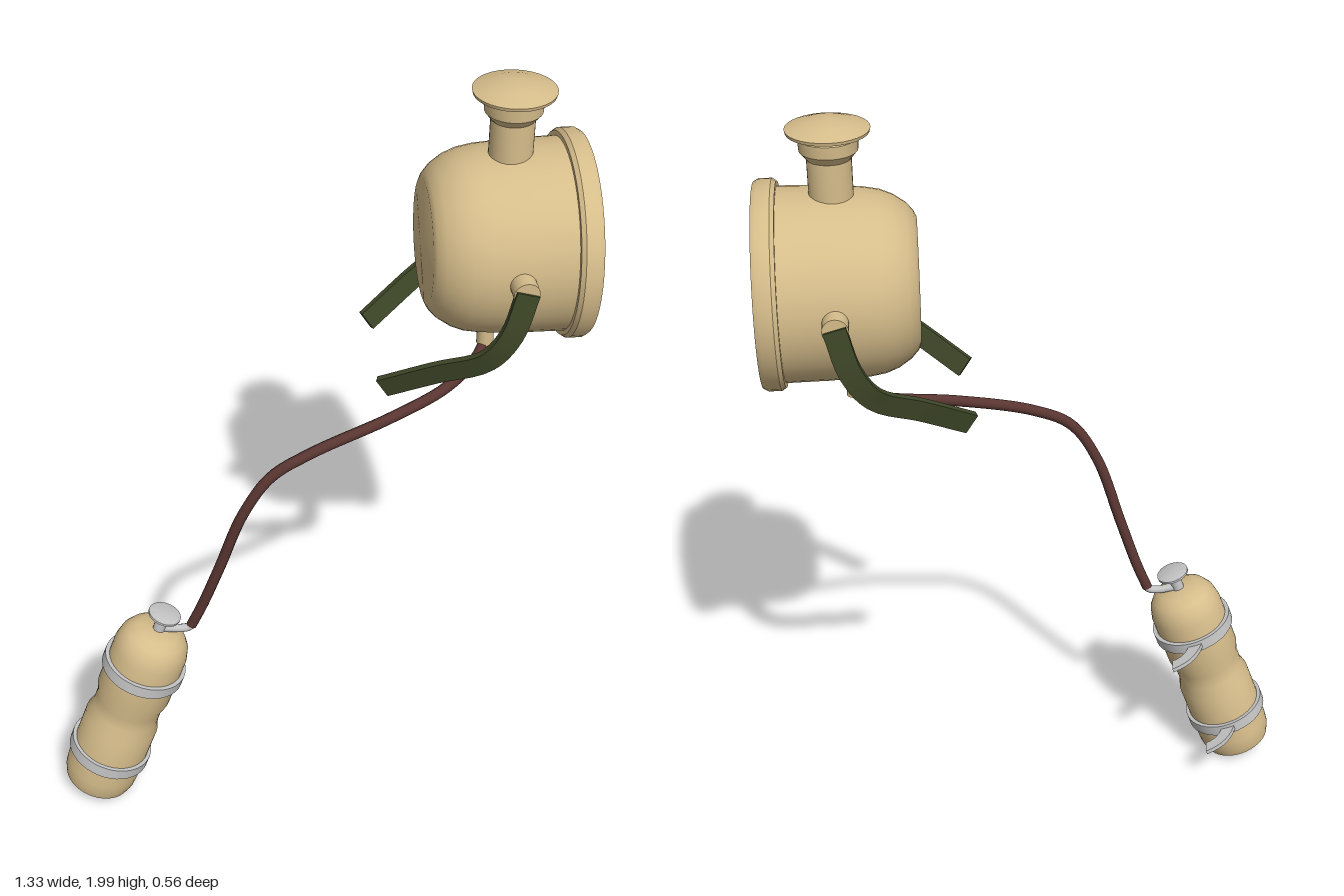
import * as THREE from 'three';
import { toCreasedNormals } from 'three/addons/utils/BufferGeometryUtils.js';

const paint = (name, color) => {
  const m = new THREE.MeshStandardMaterial({ color });
  m.name = name;
  return m;
};
const V = (x, y, z) => new THREE.Vector3(x, y, z);

function add(parent, name, geometry, material, x = 0, y = 0, z = 0) {
  const mesh = new THREE.Mesh(geometry, material);
  mesh.name = name;
  mesh.position.set(x, y, z);
  parent.add(mesh);
  return mesh;
}

// Turned part from [radius, height] pairs, with hard edges kept sharp
const turned = (pairs, sides = 48) => toCreasedNormals(
  new THREE.LatheGeometry(pairs.map(([r, y]) => new THREE.Vector2(r, y)), sides), 0.6);

// Flat bar of rectangular section swept along a curve, its broad face upright
function strap(points, width, thickness, steps = 20) {
  const curve = new THREE.CatmullRomCurve3(points);
  const pos = [], index = [];
  for (let i = 0; i <= steps; i++) {
    const p = curve.getPoint(i / steps), t = curve.getTangent(i / steps);
    const w = V(-t.y, t.x, 0).normalize();
    const n = V().crossVectors(t, w).normalize();
    for (const [a, b] of [[-1, -1], [1, -1], [1, 1], [-1, 1]]) {
      const c = p.clone().addScaledVector(w, a * width / 2).addScaledVector(n, b * thickness / 2);
      pos.push(c.x, c.y, c.z);
    }
    if (i < steps) for (let k = 0; k < 4; k++) {
      const a = i * 4 + k, b = i * 4 + (k + 1) % 4;
      index.push(a, b, a + 4, b, b + 4, a + 4);
    }
  }
  const e = steps * 4;
  index.push(0, 2, 1, 0, 3, 2, e, e + 1, e + 2, e, e + 2, e + 3);
  const g = new THREE.BufferGeometry();
  g.setAttribute('position', new THREE.Float32BufferAttribute(pos, 3));
  g.setIndex(index);
  return toCreasedNormals(g, 0.6);
}

export function createModel() {
  const model = new THREE.Group();
  model.name = 'gasLamp';
  const tan = paint('tanPaint', 0xd6bd8b);
  const green = paint('darkGreen', 0x3f4828);
  const rubber = paint('brownRubber', 0x5a3631);
  const metal = paint('greyMetal', 0xc4c4c4);
  const glass = paint('lensGlass', 0xcacaca);
  green.side = THREE.DoubleSide;

  // Lamp head, turned about the x axis
  const head = new THREE.Group();
  head.name = 'lampHead';
  head.position.y = 1.59;
  head.rotation.z = -Math.PI / 2;
  model.add(head);
  add(head, 'housing', turned([[0, 0.285], [0.15, 0.285], [0.165, 0.292], [0.185, 0.31],
    [0.205, 0.34], [0.217, 0.37], [0.224, 0.41], [0.23, 0.5], [0.232, 0.615]]), tan);
  add(head, 'bezel', turned([[0.225, 0.608], [0.243, 0.608], [0.25, 0.618], [0.25, 0.65],
    [0.243, 0.662], [0.213, 0.662], [0.206, 0.655], [0.206, 0.635]]), tan);
  add(head, 'lens', turned([[0.208, 0.642], [0, 0.642]]), glass);

  // Chimney and cap
  add(model, 'chimney', turned([[0.052, 1.79], [0.052, 1.905], [0.068, 1.925], [0.07, 1.955],
    [0.055, 1.962], [0.096, 1.968], [0.098, 1.976], [0.055, 1.991], [0, 2]], 32), tan, 0.48);

  // Pivots and mounting arms, mirrored front to back
  for (const s of [1, -1]) {
    const pivot = add(model, 'pivot', new THREE.CylinderGeometry(0.031, 0.031, 0.06, 24), tan,
      0.48, 1.595, s * 0.24);
    pivot.rotation.x = Math.PI / 2;
    add(model, 'mountingArm', strap([V(0.482, 1.6, s * 0.268), V(0.45, 1.49, s * 0.272),
      V(0.40, 1.415, s * 0.258), V(0.29, 1.35, s * 0.202), V(0.175, 1.278, s * 0.143)],
    0.055, 0.016), green);
  }

  // Gas inlet and hose
  add(model, 'gasInlet', new THREE.CylinderGeometry(0.021, 0.021, 0.09, 20), tan, 0.45, 1.335, 0);
  const hosePath = new THREE.CatmullRomCurve3([V(0.452, 1.295, 0), V(0.42, 1.262, 0.035),
    V(0.34, 1.222, 0.09), V(0.2, 1.182, 0.142), V(0, 1.122, 0.184), V(-0.1, 1.068, 0.197),
    V(-0.17, 0.96, 0.197), V(-0.235, 0.77, 0.18), V(-0.28, 0.64, 0.166), V(-0.31, 0.568, 0.16)]);
  add(model, 'hose', new THREE.TubeGeometry(hosePath, 60, 0.014, 10), rubber);

  // Gas cylinder, leaning over with its base at the group origin
  const tank = new THREE.Group();
  tank.name = 'gasCylinder';
  tank.position.set(-0.587, 0.033, 0.16);
  tank.rotation.z = -0.347;
  model.add(tank);
  add(tank, 'tankBody', turned([[0, 0], [0.08, 0], [0.09, 0.006], [0.098, 0.03], [0.1, 0.06],
    [0.1, 0.23], [0.09, 0.265], [0.09, 0.305], [0.099, 0.34], [0.099, 0.49], [0.092, 0.522],
    [0.078, 0.545], [0.055, 0.56], [0, 0.564]], 40), tan);

  // Two clamp bands, each with a curved flat tab at the back
  for (const y of [0.122, 0.431]) {
    add(tank, 'clampBand', turned([[0.098, -0.016], [0.11, -0.016], [0.11, 0.016], [0.098, 0.016]], 40),
      metal, 0, y, 0);
    const tab = new THREE.Shape();
    tab.moveTo(-0.016, 0.095);
    tab.quadraticCurveTo(0.01, 0.172, 0.083, 0.176);
    tab.lineTo(0.077, 0.142);
    tab.quadraticCurveTo(0.038, 0.14, 0.022, 0.095);
    const plate = new THREE.ExtrudeGeometry(tab, { depth: 0.012, bevelEnabled: false, curveSegments: 8 });
    plate.rotateX(-Math.PI / 2);
    add(tank, 'clampTab', plate, metal, 0, y - 0.006, 0);
  }

  // Valve stem, handwheel and outlet
  add(tank, 'valveStem', new THREE.CylinderGeometry(0.016, 0.016, 0.06, 16), metal, 0, 0.585, 0);
  add(tank, 'valveWheel', turned([[0, 0.6], [0.02, 0.602], [0.043, 0.61], [0.043, 0.616],
    [0.03, 0.62], [0, 0.622]], 28), metal);
  const outlet = new THREE.CatmullRomCurve3([V(-0.385, 0.565, 0.16), V(-0.34, 0.558, 0.16),
    V(-0.315, 0.562, 0.16), V(-0.303, 0.58, 0.16)]);
  add(model, 'valveOutlet', new THREE.TubeGeometry(outlet, 10, 0.011, 10), metal);
  return model;
}
